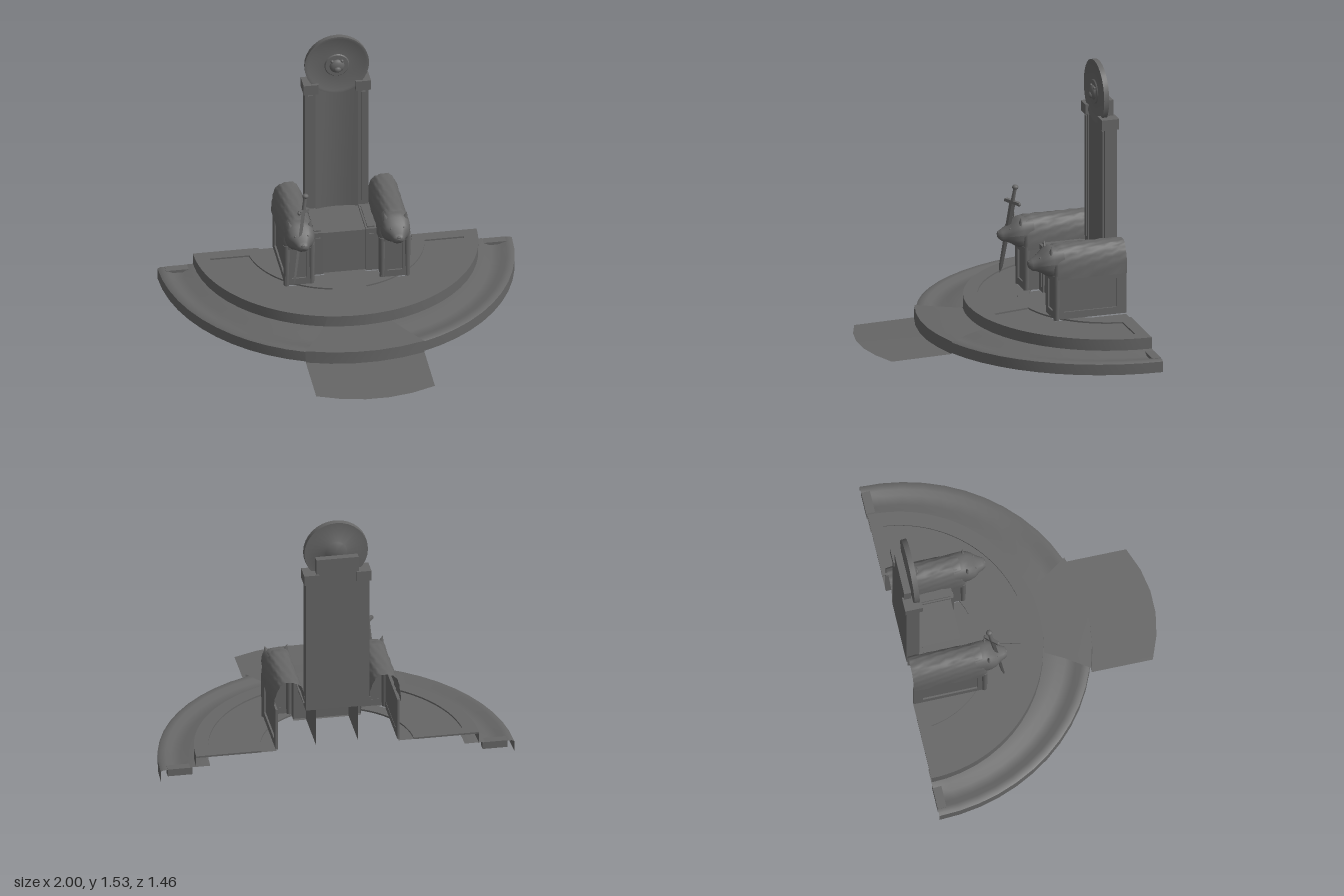
import * as THREE from 'three';
import { mergeVertices, toCreasedNormals } from 'three/addons/utils/BufferGeometryUtils.js';

const STONE = 0x666666;
const solid = new THREE.MeshStandardMaterial({ color: STONE });
const shell = new THREE.MeshStandardMaterial({ color: STONE, side: THREE.DoubleSide });
const BACK = -0.72;

function add(parent, name, geo, pos = [0, 0, 0], mat = solid) {
  const m = new THREE.Mesh(geo, mat);
  m.name = name;
  m.position.set(...pos);
  parent.add(m);
  return m;
}

// Box given by its min and max corners
function box(parent, name, a, b) {
  const s = b.map((v, i) => v - a[i]);
  return add(parent, name, new THREE.BoxGeometry(...s), a.map((v, i) => v + s[i] / 2));
}

function lathe(points, segments, start = 0, length = Math.PI * 2) {
  const pts = points.map(p => new THREE.Vector2(...p));
  return toCreasedNormals(new THREE.LatheGeometry(pts, segments, start, length), 0.7);
}

// Surface through a grid of points: rows[i][j] = [x, y, z]
function skin(rows) {
  const n = rows[0].length, index = [];
  for (let i = 0; i < rows.length - 1; i++)
    for (let j = 0; j < n - 1; j++) {
      const a = i * n + j, b = a + n;
      index.push(a, a + 1, b, b, a + 1, b + 1);
    }
  const g = new THREE.BufferGeometry();
  g.setAttribute('position', new THREE.Float32BufferAttribute(rows.flat(2), 3));
  g.setIndex(index);
  const merged = mergeVertices(g, 1e-5);
  merged.computeVertexNormals();
  return merged;
}

// Flat ring sector with a sunken panel opening, lying in the xz plane
function sectorFrame(outer, inner, depth) {
  const trace = (path, [r0, r1, a0, a1, backInset = 0]) => {
    path.absarc(0, 0, r1, a0, a1, false);
    path.absarc(0, 0, r0, a1, a0 + backInset, true);
    path.closePath();
    return path;
  };
  const s = trace(new THREE.Shape(), outer);
  s.holes.push(trace(new THREE.Path(), inner));
  const g = new THREE.ExtrudeGeometry(s, { depth, bevelEnabled: false, curveSegments: 14 });
  return g.rotateX(Math.PI / 2);
}

// Upright wall with a recessed panel, facing +z
function panelWall(w, h, bx, by) {
  const g = new THREE.Group();
  const rect = (p, x, y) => p.moveTo(-x, -y).lineTo(x, -y).lineTo(x, y).lineTo(-x, y).closePath();
  const s = rect(new THREE.Shape(), w / 2, h / 2);
  s.holes.push(rect(new THREE.Path(), w / 2 - bx, h / 2 - by));
  add(g, 'panelFrame', new THREE.ExtrudeGeometry(s, { depth: 0.012, bevelEnabled: false }), [0, 0, -0.012], shell);
  add(g, 'panelField', new THREE.PlaneGeometry(w - bx, h - by), [0, 0, -0.01], shell);
  return g;
}

function buildDais(root) {
  const g = new THREE.Group();
  g.name = 'dais';
  root.add(g);
  const half = [-Math.PI / 2, Math.PI];
  const lower = add(g, 'lowerStep', lathe([[1, 0.01], [1, 0.072], [0.985, 0.08], [0.955, 0.08], [0.925, 0.066],
    [0.87, 0.064], [0.83, 0.084], [0.72, 0.084]], 28, ...half), [0, 0, BACK], shell);
  lower.scale.z = 1.07;
  add(g, 'upperStepRiser', lathe([[0.8, 0.075], [0.8, 0.145]], 28, ...half), [0, 0, BACK], shell);
  // Upper floor, notched around the throne and its arms
  const floor = new THREE.Shape();
  floor.absarc(0, 0, 0.8, 0, Math.PI, false);
  floor.lineTo(-0.345, 0).lineTo(-0.345, 0.415).lineTo(-0.19, 0.415).lineTo(-0.19, 0.33);
  floor.lineTo(0.19, 0.33).lineTo(0.19, 0.415).lineTo(0.345, 0.415).lineTo(0.345, 0).closePath();
  add(g, 'upperStepFloor', new THREE.ShapeGeometry(floor, 28).rotateX(Math.PI / 2), [0, 0.141, BACK], shell);
  for (const side of [1, -1]) {
    const f = add(g, 'upperStepBorder', sectorFrame([0.43, 0.8, 0, Math.PI / 2], [0.5, 0.72, 0.097, 1.38, 0.045], 0.01), [0, 0.15, BACK]);
    f.scale.x = side;
    const end = box(g, 'lowerStepEnd', [0.82, 0.04, BACK], [0.96, 0.082, -0.67]);
    end.position.x *= side;
  }
  // Carpet: [half width, y, z at the middle, setback of the side edges]
  const rows = [[0.12, 0.152, -0.4, 0], [0.085, 0.152, -0.2, 0], [0.17, 0.152, 0.082, 0.018], [0.19, 0.087, 0.084, 0.022],
    [0.25, 0.087, 0.2, 0.03], [0.335, 0.082, 0.353, 0.056], [0.335, 0.01, 0.356, 0.056], [0.335, 0.002, 0.73, 0.08]];
  const grid = rows.map(([w, y, z, sag]) => [-1, -0.6, -0.2, 0.2, 0.6, 1].map(t => [w * t, y, z - sag * t * t]));
  add(g, 'carpet', toCreasedNormals(skin(grid), 0.5), [0, 0, 0], shell);
}

function buildThrone(root) {
  const g = new THREE.Group();
  g.name = 'throne';
  root.add(g);
  box(g, 'backBoard', [-0.18, 0.38, BACK], [0.18, 1.19, -0.685]);
  box(g, 'backTop', [-0.12, 1.19, BACK], [0.12, 1.325, -0.68]);
  // Shallow hollow backrest, running on as seat and seat front
  const run = [[1.2, -0.655], [0.41, -0.655], [0.408, -0.4], [0.15, -0.395]];
  const hollow = run.map(([y, z], i) => [-1, -0.5, 0, 0.5, 1].map(t =>
    [0.125 * t, y, i < 2 ? z - 0.018 * (1 - t * t) : z]));
  add(g, 'seatAndBackrest', toCreasedNormals(skin(hollow), 0.6), [0, 0, 0], shell);
  for (const s of [1, -1]) {
    const p = new THREE.Group();
    p.name = 'throneSide';
    p.scale.x = s;
    g.add(p);
    box(p, 'post', [0.12, 0.38, -0.7], [0.18, 1.19, -0.65]);
    box(p, 'postMoulding', [0.137, 0.45, -0.66], [0.163, 1.16, -0.642]);
    box(p, 'capital', [0.105, 1.175, -0.73], [0.19, 1.235, -0.63]);
    // Inner arm, open at the back and below
    const arm = [-0.7, -0.385].map(z => [[0.12, 0.15, z], [0.12, 0.42, z], [0.19, 0.42, z]]);
    add(p, 'innerArm', toCreasedNormals(skin(arm), 0.5), [0, 0, 0], shell);
    add(p, 'innerArmFront', new THREE.PlaneGeometry(0.07, 0.27), [0.155, 0.285, -0.385], shell);
    box(p, 'innerArmCap', [0.13, 0.418, -0.62], [0.17, 0.428, -0.4]);
    box(p, 'innerArmMoulding', [0.137, 0.18, -0.387], [0.165, 0.39, -0.378]);
  }
  // Round crest with an animal boss
  const crest = new THREE.Group();
  crest.name = 'crest';
  crest.position.set(0, 1.346, -0.66);
  g.add(crest);
  add(crest, 'crestDisc', lathe([[0, -0.02], [0.06, -0.02], [0.066, -0.015], [0.18, -0.015], [0.182, 0.015], [0.168, 0.015],
    [0.16, 0.011], [0.07, 0.013], [0.065, 0.019], [0, 0.019]], 32).rotateX(Math.PI / 2), [0, 0, 0], shell);
  const ball = new THREE.SphereGeometry(1, 14, 10);
  add(crest, 'bossHead', ball, [0, -0.004, 0.017]).scale.set(0.043, 0.042, 0.022);
  add(crest, 'bossMuzzle', ball, [0, -0.018, 0.034]).scale.set(0.02, 0.018, 0.014);
  for (const s of [1, -1]) add(crest, 'bossEar', ball, [s * 0.028, 0.029, 0.022]).scale.setScalar(0.009);
}

// Cross-sections [z, half width, bottom, top]; an arch when open, else a full ring
function loft(rows, open, rough) {
  const n = 24;
  const pow = (v, e) => Math.sign(v) * Math.abs(v) ** e;
  return skin(rows.map(([z, w, lo, hi], i) => Array.from({ length: n + 1 }, (_, j) => {
    const t = (j % (open ? n + 1 : n)) / n * Math.PI * (open ? 1 : 2);
    const k = 1 + rough * Math.sin(i * 2.3 + j * 1.7) * Math.cos(i * 1.1 - j * 0.9);
    const mid = open ? lo : (lo + hi) / 2;
    return [w * k * pow(Math.cos(t), 0.75), mid + (hi - mid) * k * pow(Math.sin(t), 0.8), z];
  })));
}

function buildArm(root, side) {
  const g = new THREE.Group();
  g.name = side > 0 ? 'leftArm' : 'rightArm';
  g.position.x = 0.27 * side;
  root.add(g);
  // Pedestal, open at the back and below
  const front = panelWall(0.16, 0.25, 0.038, 0.04);
  front.name = 'pedestalFront';
  front.position.set(0, 0.275, -0.3);
  g.add(front);
  const outer = panelWall(0.42, 0.25, 0.055, 0.04);
  outer.name = 'pedestalSide';
  outer.rotation.y = side * Math.PI / 2;
  outer.position.set(side * 0.08, 0.275, -0.51);
  g.add(outer);
  const inner = add(g, 'pedestalInnerReturn', new THREE.PlaneGeometry(0.1, 0.25), [-side * 0.08, 0.275, -0.35], shell);
  inner.rotation.y = Math.PI / 2;
  // Pelt draped over the pedestal, with legs hanging down the front corners
  const body = [];
  for (let i = 0; i <= 10; i++) body.push([BACK + i * 0.04, 0.089, 0.385, 0.565]);
  body.push([-0.3, 0.084, 0.385, 0.545], [-0.292, 0.05, 0.385, 0.47], [-0.29, 0.001, 0.385, 0.39]);
  add(g, 'pelt', loft(body, true, 0.035), [0, 0, 0], shell);
  for (const s of [1, -1])
    add(g, 'peltLeg', new THREE.CylinderGeometry(0.02, 0.016, 0.26, 8), [s * 0.07, 0.275, -0.313]);
  // Bear head
  add(g, 'bearHead', loft([[-0.36, 0.078, 0.39, 0.56], [-0.3, 0.082, 0.385, 0.562], [-0.27, 0.08, 0.395, 0.55],
    [-0.24, 0.07, 0.415, 0.522], [-0.215, 0.049, 0.425, 0.505], [-0.19, 0.036, 0.43, 0.492],
    [-0.173, 0.028, 0.445, 0.483], [-0.167, 0.001, 0.464, 0.466]], false, 0.015), [0, 0, 0], shell);
  const ball = new THREE.SphereGeometry(1, 12, 8);
  add(g, 'nose', ball, [0, 0.475, -0.175]).scale.set(0.014, 0.01, 0.008);
  for (const s of [1, -1]) {
    const ear = add(g, 'ear', new THREE.ConeGeometry(0.02, 0.05, 8), [s * 0.058, 0.55, -0.285]);
    ear.scale.z = 0.6;
    ear.rotation.z = -s * 0.25;
    add(g, 'eye', ball, [s * 0.036, 0.506, -0.229]).scale.setScalar(0.006);
  }
}

function buildSword(root) {
  const g = new THREE.Group();
  g.name = 'sword';
  const tip = new THREE.Vector3(-0.315, 0.225, -0.195);
  const dir = new THREE.Vector3(-0.24, 0.76, -0.265).sub(tip).normalize();
  g.position.copy(tip);
  g.quaternion.setFromUnitVectors(new THREE.Vector3(0, 1, 0), dir);
  root.add(g);
  const s = new THREE.Group();
  s.name = 'swordParts';
  s.rotation.y = Math.PI / 4;
  g.add(s);
  const blade = new THREE.CylinderGeometry(0.019, 0.012, 0.4, 4).toNonIndexed();
  blade.computeVertexNormals();
  add(s, 'blade', blade, [0, 0.24, 0]).scale.z = 0.4;
  const point = new THREE.CylinderGeometry(0.012, 0, 0.04, 4).toNonIndexed();
  point.computeVertexNormals();
  add(s, 'bladeTip', point, [0, 0.02, 0]).scale.z = 0.4;
  box(s, 'guard', [-0.042, 0.43, -0.01], [0.042, 0.448, 0.01]);
  for (const e of [1, -1]) add(s, 'guardEnd', new THREE.SphereGeometry(0.011, 8, 6), [e * 0.042, 0.437, 0]);
  add(s, 'grip', new THREE.CylinderGeometry(0.01, 0.012, 0.085, 8), [0, 0.487, 0]);
  add(s, 'pommel', new THREE.SphereGeometry(0.018, 10, 8), [0, 0.53, 0]).scale.y = 0.8;
}

export function createModel() {
  const root = new THREE.Group();
  root.name = 'throneOnDais';
  buildDais(root);
  buildThrone(root);
  for (const side of [1, -1]) buildArm(root, side);
  buildSword(root);
  return root;
}
